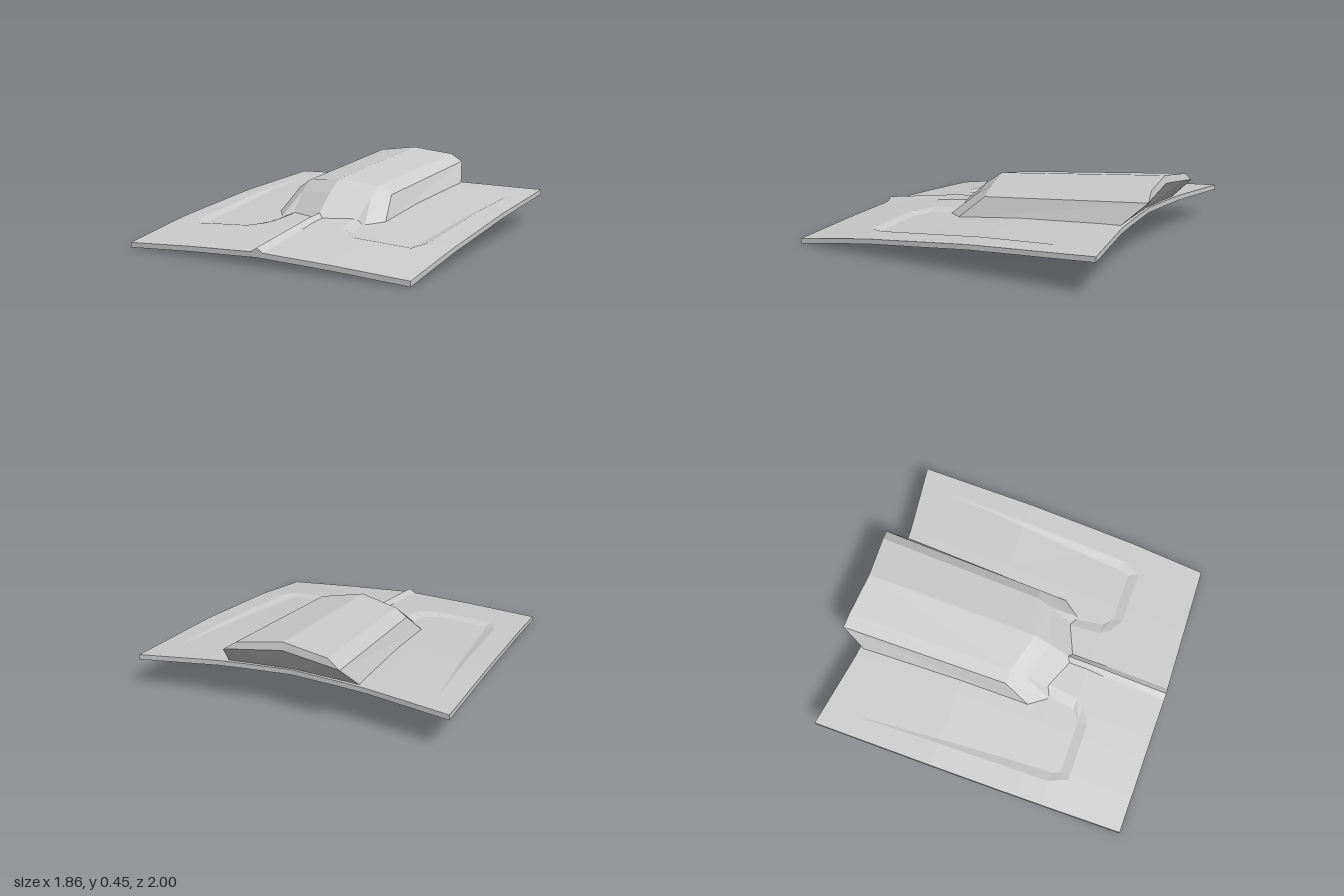
import * as THREE from 'three';

// Linear interpolation through [key, value] pairs with rising keys
function lerpTable(table, k) {
  for (let i = 1; i < table.length; i++) {
    const [k0, v0] = table[i - 1], [k1, v1] = table[i];
    if (k <= k1 || i === table.length - 1) return v0 + (v1 - v0) * (k - k0) / (k1 - k0);
  }
}

// Faceted skin over rows of points; faces left-to-right x first-to-last row
function patch(rows) {
  const pos = [];
  const tri = (a, b, c) => pos.push(...a, ...b, ...c);
  for (let i = 0; i + 1 < rows.length; i++) {
    for (let j = 0; j + 1 < rows[i].length; j++) {
      const a = rows[i][j], b = rows[i][j + 1], c = rows[i + 1][j + 1], d = rows[i + 1][j];
      // mirrored diagonals keep both halves alike
      if (j < (rows[i].length - 1) / 2) { tri(a, b, c); tri(a, c, d); }
      else { tri(a, b, d); tri(b, c, d); }
    }
  }
  const g = new THREE.BufferGeometry();
  g.setAttribute('position', new THREE.Float32BufferAttribute(pos, 3));
  g.computeVertexNormals();
  return g;
}

// Completes a centre-to-left half row with its mirror image
const mirrorRow = (half) => [...half.slice(1).reverse().map(([x, y, z]) => [-x, y, z]), ...half];

// Underside height: side edge profile along z plus a crown across x
const edgeProfile = [[-0.965, 0.19], [-0.22, 0.145], [0.48, 0.075], [0.99, 0]];
const crown = [[0, 0.05], [0.45, 0.03], [0.93, 0]];
const underside = (x, z) => lerpTable(edgeProfile, z) + lerpTable(crown, x) * (0.9 + 0.1 * z);

const THICKNESS = 0.03;

// Stations from front to back: z, ridge height, recess depth, then x of
// ridge foot, inner rim, inner floor, crown break, outer floor, outer rim, edge
const stations = [
  [0.99, 0.024, 0, 0.04, 0.30, 0.36, 0.45, 0.69, 0.72, 0.905],
  [0.59, 0.024, 0, 0.035, 0.30, 0.36, 0.45, 0.69, 0.72, 0.917],
  [0.53, 0.024, 0.018, 0.033, 0.265, 0.36, 0.45, 0.69, 0.745, 0.919],
  [0.48, 0.024, 0.02, 0.03, 0.23, 0.30, 0.45, 0.71, 0.77, 0.92],
  [0.32, 0.024, 0.019, 0.03, 0.21, 0.27, 0.45, 0.72, 0.775, 0.923],
  [0.20, 0, 0.018, 0.03, 0.21, 0.27, 0.45, 0.727, 0.778, 0.925],
  [-0.22, 0, 0.011, 0.03, 0.21, 0.27, 0.45, 0.76, 0.79, 0.93],
  [-0.75, 0, 0, 0.03, 0.21, 0.27, 0.45, 0.805, 0.815, 0.93],
  [-0.88, 0, 0, 0.03, 0.21, 0.27, 0.45, 0.805, 0.815, 0.93],
];

function panelRow(station, index, top) {
  const [z0, ridge, depth, ...xs] = station;
  const half = [0, ...xs].map((x, j) => {
    let z = z0;
    if (index === 0) z = 0.995 - 0.015 * x / 0.905;               // bowed front edge
    if (index === stations.length - 1) z = -0.87 - (x < 0.4 ? 0.04 * x : 0.016 + 0.15 * (x - 0.4)); // swept back edge
    let y = underside(x, z);
    if (top) {
      y += THICKNESS;
      if (j === 0) y += ridge;
      if (j >= 3 && j <= 5) y -= depth;
    }
    return [x, y, z];
  });
  return mirrorRow(half);
}

export function createModel() {
  const model = new THREE.Group();
  model.name = 'hood';
  const material = new THREE.MeshStandardMaterial({ color: 0xcccccc, flatShading: true, side: THREE.DoubleSide });
  const add = (parent, name, rows) => {
    const mesh = new THREE.Mesh(patch(rows), material);
    mesh.name = name;
    parent.add(mesh);
  };

  // Hood panel: ridged and recessed skin, underside and edge strips
  const panel = new THREE.Group();
  panel.name = 'hoodPanel';
  model.add(panel);
  const top = stations.map((s, i) => panelRow(s, i, true));
  const bottom = stations.map((s, i) => panelRow(s, i, false));
  const last = stations.length - 1, end = top[0].length - 1;
  const column = (rows, j) => rows.map((r) => r[j]);
  add(panel, 'topSkin', top);
  add(panel, 'underside', [...bottom].reverse());
  add(panel, 'frontEdge', [bottom[0], top[0]]);
  add(panel, 'backEdge', [top[last], bottom[last]]);
  add(panel, 'leftEdge', [column(bottom, end), column(top, end)]);
  add(panel, 'rightEdge', [column(top, 0), column(bottom, 0)]);

  // Scoop: half cross-sections from the nose over the roof to the rear face
  const noseCorner = [0.37, 0.14, 0.21], tailCorner = [0.40, 0.235, -0.86];
  const scoopRows = [
    [[0, 0.15, 0.39], [0.22, 0.13, 0.32], [0.29, 0.13, 0.32], noseCorner],
    [[0, 0.29, 0.225], [0.24, 0.275, 0.145], [0.315, 0.24, 0.12], noseCorner],
    [[0, 0.36, 0.12], [0.25, 0.33, 0.05], [0.325, 0.28, 0.045], noseCorner],
    [[0, 0.455, -0.96], [0.27, 0.42, -0.985], [0.345, 0.37, -1], tailCorner],
    [[0, 0.41, -0.97], [0.27, 0.38, -0.993], [0.345, 0.37, -1], tailCorner],
    [[0, 0.25, -0.85], [0.27, 0.24, -0.855], tailCorner, tailCorner],
  ].map(mirrorRow);
  add(model, 'scoop', scoopRows);

  return model;
}
